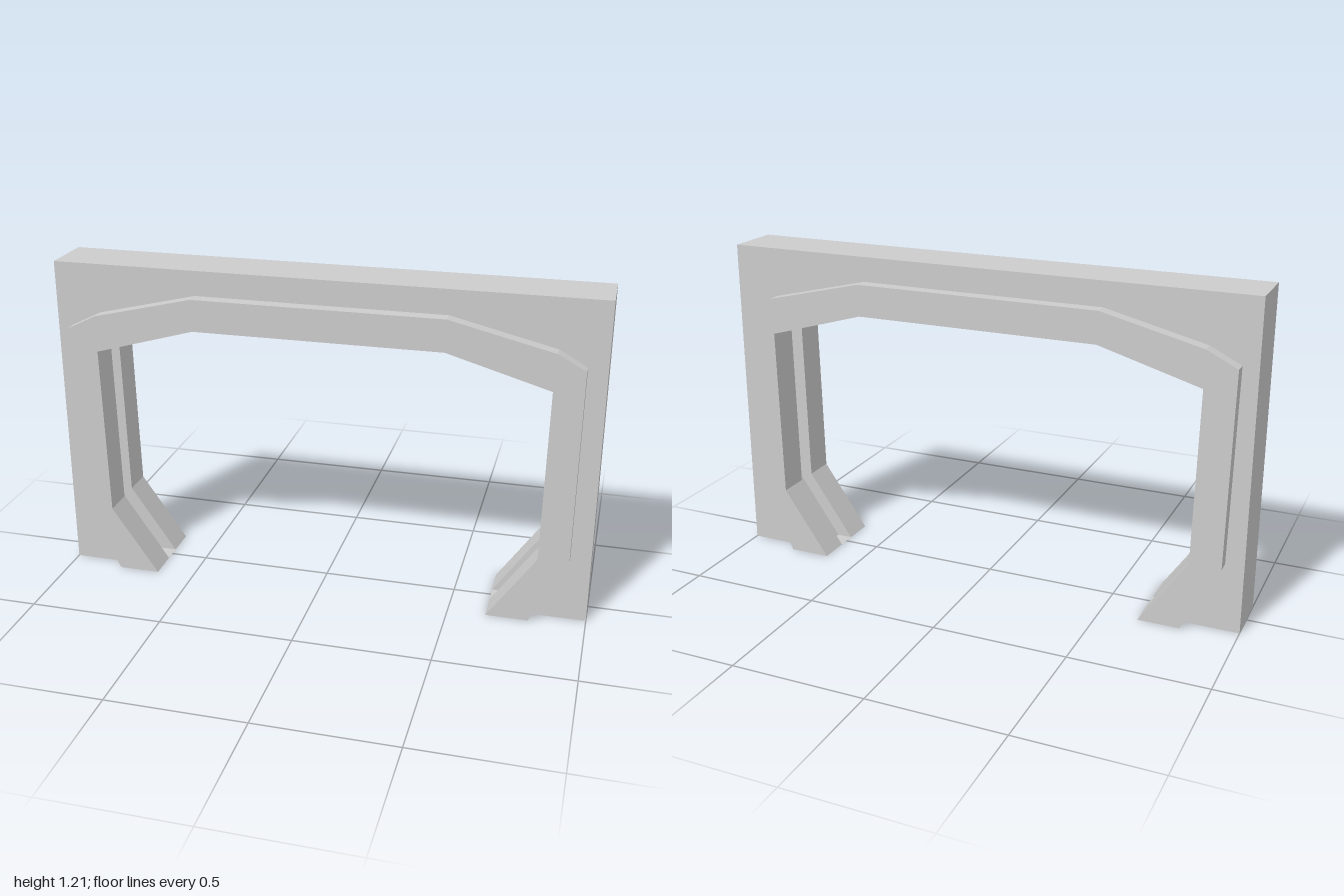
import * as THREE from 'three';

// Half depths along z, from the middle outwards
const GROOVE = 0.037, SLAB = 0.105, BAND = 0.155;
const HEIGHT = 1.21;

// Opening edge, groove floor and band edge, from the -x foot over to the +x foot
const OPENING = [[-0.643, 0], [-0.817, 0.253], [-0.83, 0.893], [-0.458, 1.0],
  [0.453, 1.0], [0.824, 0.893], [0.814, 0.253], [0.64, 0]];
const FLOOR = [[-0.703, 0], [-0.865, 0.237], [-0.878, 0.928], [-0.465, 1.048],
  [0.46, 1.048], [0.872, 0.928], [0.862, 0.237], [0.7, 0]];
const BAND_EDGE = [[-0.797, 0], [-0.932, 0.255], [-0.943, 0.973], [-0.832, 1.028], [-0.461, 1.118],
  [0.456, 1.118], [0.832, 1.028], [0.931, 0.973], [0.926, 0.255], [0.795, 0]];
const BLOCK_EDGE = [[-1, 0], [-1, HEIGHT], [1, HEIGHT], [1, 0]];

const material = new THREE.MeshStandardMaterial({
  color: 0xcccccc, flatShading: true, side: THREE.DoubleSide,
});

// Extrudes the area between an outer and an inner edge from z0 to z1
function archLayer(name, outer, inner, z0, z1) {
  const points = [...outer, ...[...inner].reverse()].map(([x, y]) => new THREE.Vector2(x, y));
  const geometry = new THREE.ExtrudeGeometry(new THREE.Shape(points), {
    depth: z1 - z0, bevelEnabled: false,
  });
  geometry.translate(0, 0, z0);
  const mesh = new THREE.Mesh(geometry, material);
  mesh.name = name;
  return mesh;
}

export function createModel() {
  const model = new THREE.Group();
  model.name = 'doorFrame';

  // Middle layer, set back to leave the groove round the opening
  model.add(archLayer('grooveCore', BLOCK_EDGE, FLOOR, -GROOVE, GROOVE));

  // Block layers either side of the groove, and raised bands on both faces
  model.add(archLayer('frontBlock', BLOCK_EDGE, OPENING, GROOVE, SLAB));
  model.add(archLayer('backBlock', BLOCK_EDGE, OPENING, -SLAB, -GROOVE));
  model.add(archLayer('frontBand', BAND_EDGE, OPENING, SLAB, BAND));
  model.add(archLayer('backBand', BAND_EDGE, OPENING, -BAND, -SLAB));

  // Thin plates closing the groove under each foot
  for (const [name, i] of [['rightFootPlate', 0], ['leftFootPlate', 7]]) {
    const a = OPENING[i][0], b = FLOOR[i][0];
    const geometry = new THREE.PlaneGeometry(Math.abs(b - a), 2 * GROOVE).rotateX(-Math.PI / 2);
    const plate = new THREE.Mesh(geometry, material);
    plate.name = name;
    plate.position.x = (a + b) / 2;
    model.add(plate);
  }
  return model;
}
